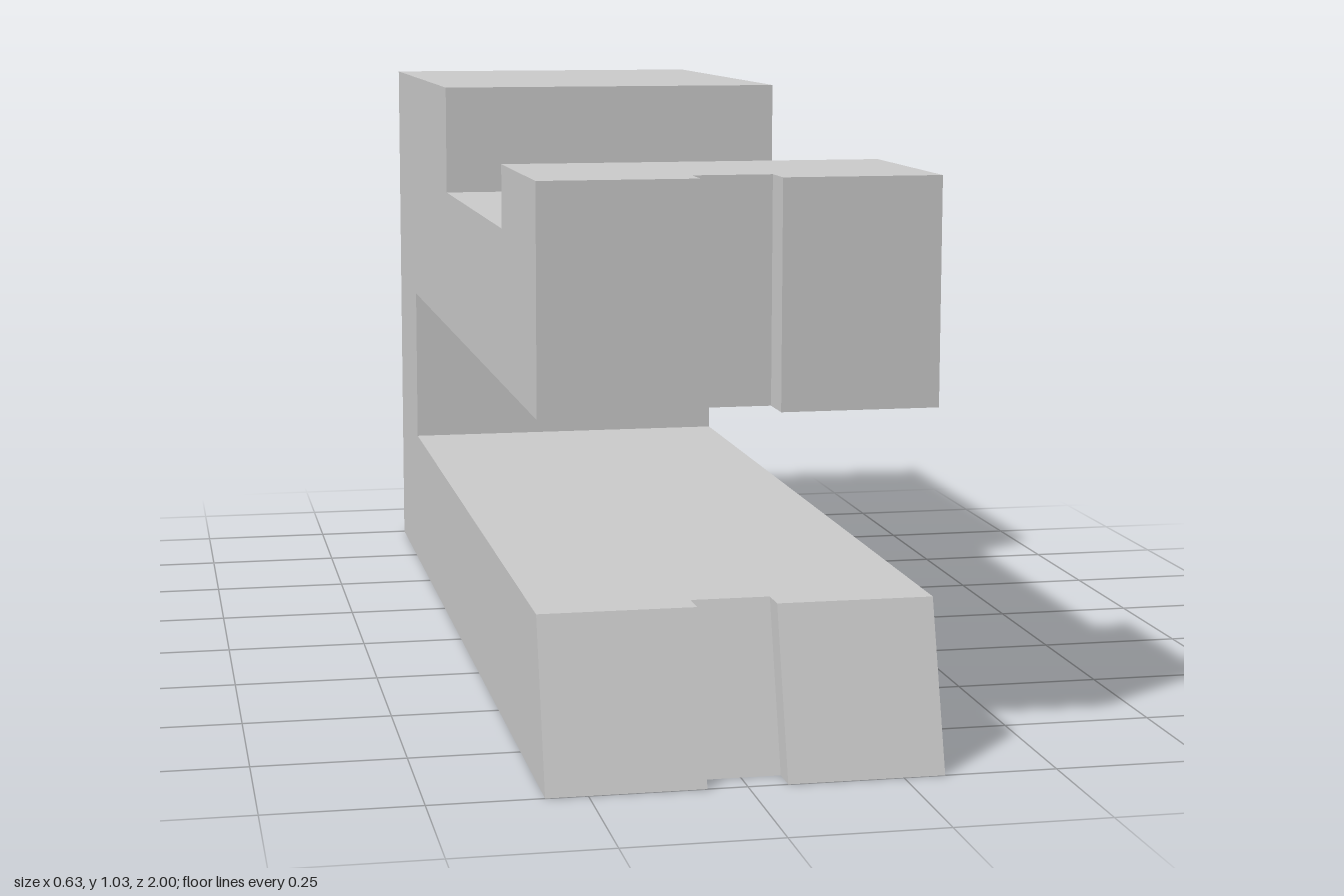
import * as THREE from 'three';

const HALF = 0.317;   // half width of the body
const SLOT = 0.064;   // half width of the front grooves

// Side outline as [z, y], counter-clockwise; depths push the front faces back
function outline(lowerDepth = 0, upperDepth = 0) {
  return [
    [-1, 0], [1 - lowerDepth, 0], [0.92 - lowerDepth, 0.268],
    [-0.705, 0.268], [-0.705, 0.573],
    [0.935 - upperDepth, 0.573], [0.935 - upperDepth, 0.935],
    [0.575, 0.935], [0.575, 0.83], [-0.157, 0.83], [-0.157, 1.028], [-1, 1.028],
  ];
}

export function createModel() {
  const positions = [];
  const put = (x, [z, y]) => positions.push(x, y, z);

  // Walls that sweep an outline across x
  const sweep = (profile, x0, x1) => profile.forEach((a, i) => {
    const b = profile[(i + 1) % profile.length];
    put(x0, a); put(x1, a); put(x1, b);
    put(x0, a); put(x1, b); put(x0, b);
  });

  // Flat polygon at x, facing -x or +x
  const flat = (profile, x, facing) => {
    const points = profile.map(([z, y]) => new THREE.Vector2(z, y));
    for (const [a, b, c] of THREE.ShapeUtils.triangulateShape(points, [])) {
      for (const i of facing < 0 ? [a, b, c] : [a, c, b]) put(x, profile[i]);
    }
  };

  const outer = outline();
  const grooved = outline(0.048, 0.065);

  sweep(outer, -HALF, -SLOT);
  sweep(grooved, -SLOT, SLOT);
  sweep(outer, SLOT, HALF);

  for (const side of [-1, 1]) {
    flat(outer, side * HALF, side);
    // Groove cheeks on the lower and upper jaws
    for (const i of [1, 5]) {
      flat([grooved[i], outer[i], outer[i + 1], grooved[i + 1]], side * SLOT, -side);
    }
  }

  const geometry = new THREE.BufferGeometry();
  geometry.setAttribute('position', new THREE.Float32BufferAttribute(positions, 3));
  geometry.computeVertexNormals();

  const body = new THREE.Mesh(
    geometry,
    new THREE.MeshStandardMaterial({ color: 0xcccccc, flatShading: true }),
  );
  body.name = 'slottedClampBody';

  const model = new THREE.Group();
  model.name = 'clamp';
  model.add(body);
  return model;
}
